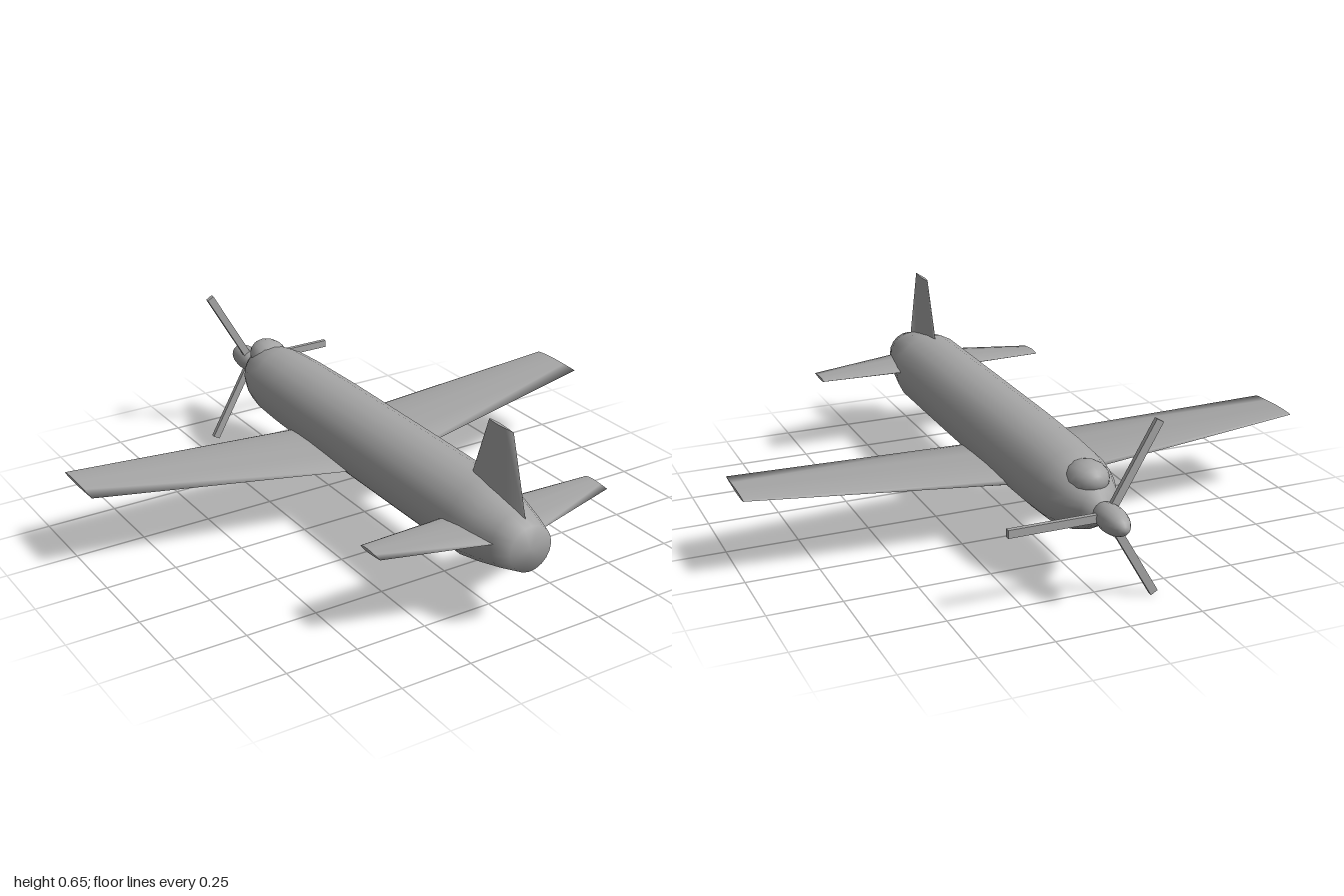
import * as THREE from 'three';

const grey = new THREE.MeshStandardMaterial({ color: 0xa6a6a6 });
grey.name = 'plain grey';
const AXIS_Y = 0.305;

// Symmetric aerofoil loop: leading edge, upper side, trailing edge, lower side
const upper = [[0.05, 0.45], [0.2, 0.85], [0.4, 1], [0.7, 0.6]];
const aerofoil = [[0, 0], ...upper, [1, 0], ...upper.map(([c, t]) => [c, -t]).reverse()];

// Tapered surface from root to tip along +x (side 1) or -x (side -1)
// Each station: x, y, z of leading edge, z of trailing edge, half thickness
function panel(root, tip, side = 1) {
  const n = aerofoil.length;
  const pos = [], index = [];
  const ring = ([x, y, le, te, t]) => aerofoil.forEach(([c, h]) =>
    pos.push(side * x, y + h * t, le + c * (te - le)));
  ring(root); ring(tip); ring(tip);
  const tri = (a, b, c) => index.push(a, ...(side > 0 ? [b, c] : [c, b]));
  for (let i = 0; i < n; i++) {
    const j = (i + 1) % n;
    tri(i, j, n + i);
    tri(j, n + j, n + i);
    if (i > 0 && i < n - 1) tri(2 * n, 2 * n + i, 2 * n + i + 1); // tip cap
  }
  const geo = new THREE.BufferGeometry();
  geo.setAttribute('position', new THREE.Float32BufferAttribute(pos, 3));
  geo.setIndex(index);
  geo.computeVertexNormals();
  return geo;
}

function ellipsoid(rx, ry, rz) {
  return new THREE.SphereGeometry(1, 16, 12).rotateX(Math.PI / 2).scale(rx, ry, rz);
}

export function createModel() {
  const model = new THREE.Group();
  model.name = 'aeroplane';
  const add = (name, geo, x = 0, y = 0, z = 0, parent = model) => {
    const mesh = new THREE.Mesh(geo, grey);
    mesh.name = name;
    mesh.position.set(x, y, z);
    parent.add(mesh);
    return mesh;
  };

  // Fuselage, nose at -z: radius and z
  const profile = [
    [0, -0.8], [0.035, -0.8], [0.06, -0.765], [0.095, -0.71], [0.118, -0.65], [0.13, -0.58],
    [0.136, -0.45], [0.14, -0.2], [0.14, 0.3], [0.139, 0.7], [0.122, 0.79], [0.1, 0.88],
    [0.079, 0.95], [0, 0.95],
  ].map(([r, z]) => new THREE.Vector2(r, z));
  add('fuselage', new THREE.LatheGeometry(profile, 20).rotateX(Math.PI / 2), 0, AXIS_Y, 0);

  // Canopy bubble
  add('canopy', ellipsoid(0.07, 0.06, 0.09).rotateX(0.22), 0, 0.374, -0.678);

  // Wings and tailplanes
  for (const [side, label] of [[1, 'left'], [-1, 'right']]) {
    add(label + 'Wing', panel(
      [0, 0.222, -0.33, 0.095, 0.021], [1, 0.308, -0.295, -0.07, 0.006], side));
    add(label + 'Tailplane', panel(
      [0, 0.32, 0.655, 0.915, 0.012], [0.44, 0.32, 0.675, 0.785, 0.006], side));
  }

  // Upright fin
  add('fin', panel([0, 0, 0.597, 0.94, 0.013], [0.335, 0, 0.718, 0.842, 0.006])
    .rotateZ(Math.PI / 2), 0, 0.32, 0);

  // Propeller
  const propeller = new THREE.Group();
  propeller.name = 'propeller';
  propeller.position.set(0, AXIS_Y, -0.832);
  model.add(propeller);
  add('spinner', ellipsoid(0.045, 0.045, 0.095), 0, 0, -0.026, propeller);
  for (let i = 0; i < 3; i++) {
    const blade = add('blade', new THREE.BoxGeometry(0.335, 0.027, 0.016).translate(0.1675, 0, 0),
      0, 0, 0, propeller);
    blade.rotation.z = i * Math.PI * 2 / 3;
  }
  return model;
}
